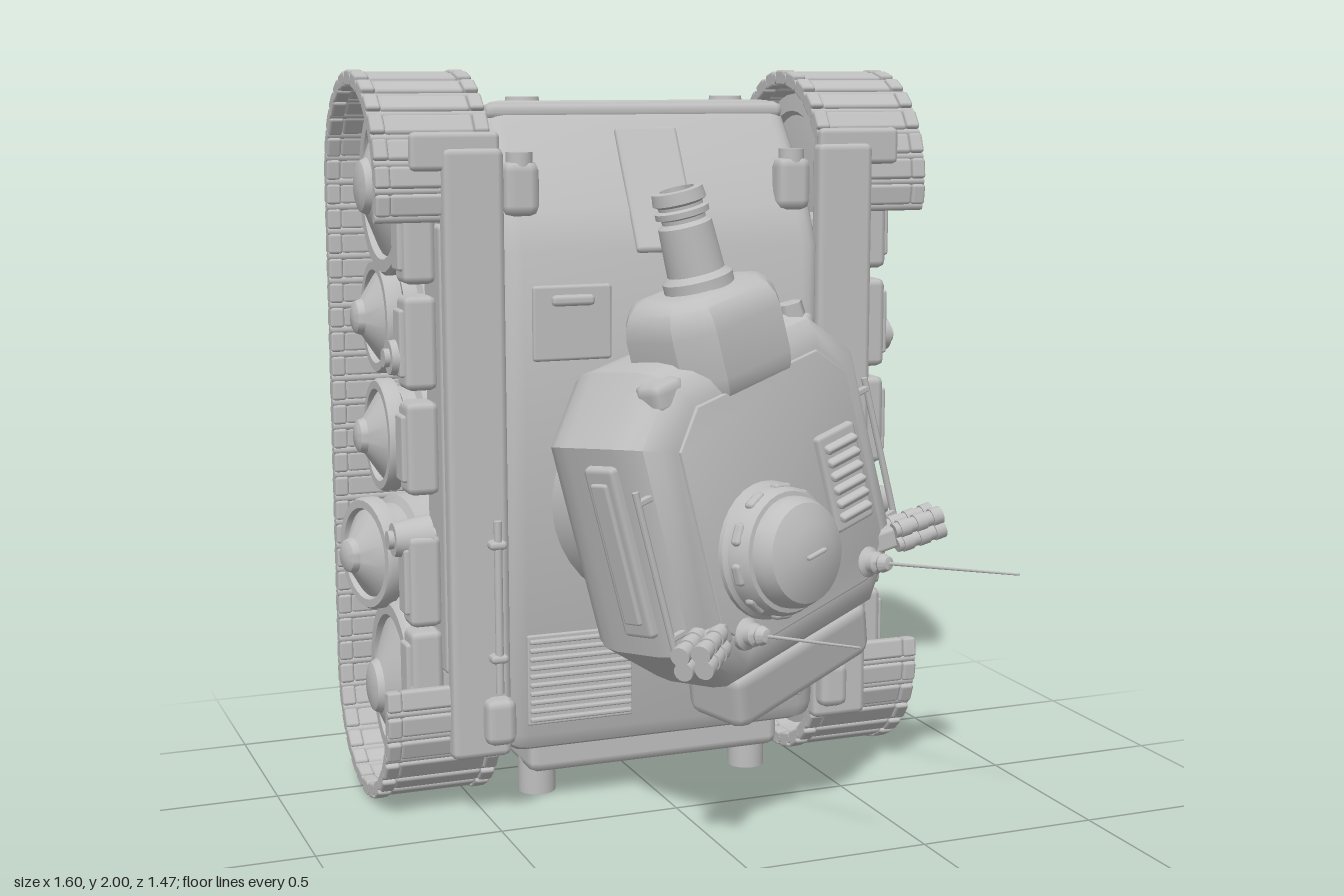
import * as THREE from 'three';
import { toCreasedNormals } from 'three/addons/utils/BufferGeometryUtils.js';
import { RoundedBoxGeometry } from 'three/addons/geometries/RoundedBoxGeometry.js';

const metal = new THREE.MeshStandardMaterial({ color: 0xbfbfbf });
metal.name = 'grey metal';

const V = (a) => a.map(([x, y]) => new THREE.Vector2(x, y));
const box = (w, h, d, r = 0.012) => new RoundedBoxGeometry(w, h, d, 1, Math.min(r, w / 2.1, h / 2.1, d / 2.1));
const cyl = (r1, r2, h, n = 24) => new THREE.CylinderGeometry(r1, r2, h, n);
const lathe = (pts, n = 32) => toCreasedNormals(new THREE.LatheGeometry(V(pts), n).toNonIndexed(), 0.6);

function part(parent, name, geo, x = 0, y = 0, z = 0, rx = 0, ry = 0, rz = 0) {
  const m = new THREE.Mesh(geo, metal);
  m.name = name;
  m.position.set(x, y, z);
  m.rotation.set(rx, ry, rz);
  parent.add(m);
  return m;
}

// extruded outline with rounded edges, total thickness d, starting at z = 0
function slab(pts, d, size, thick = size) {
  const g = new THREE.ExtrudeGeometry(new THREE.Shape(V(pts)), {
    depth: d - 2 * thick, bevelEnabled: true, bevelSize: size, bevelOffset: -size, bevelThickness: thick, bevelSegments: 4,
  });
  g.translate(0, 0, thick);
  return toCreasedNormals(g, 0.6);
}
const octagon = (a, b, c) => [[a, c - b], [a, b - c], [a - c, b], [c - a, b], [-a, b - c], [-a, c - b], [c - a, -b], [a - c, -b]];

function hull(root) {
  const g = new THREE.Group();
  g.name = 'hull';
  root.add(g);
  // side profile as (z, y), extruded across the width
  const body = slab([[-0.6, 0.3], [-0.575, 0.22], [-0.52, 0.17], [-0.16, 0.165], [-0.125, 0.18], [-0.105, 0.22],
    [-0.105, 1.53], [-0.15, 1.63], [-0.22, 1.75], [-0.3, 1.86], [-0.33, 1.9], [-0.37, 1.915], [-0.42, 1.9],
    [-0.55, 1.82], [-0.59, 1.77], [-0.6, 1.7]].reverse(), 0.92, 0.045, 0.06);
  body.rotateY(-Math.PI / 2).translate(0.46, 0, 0);
  // the sides draw in towards the belly
  const p = body.attributes.position;
  for (let i = 0; i < p.count; i++) p.setX(i, p.getX(i) * (1 + 0.16 * (p.getZ(i) + 0.105)));
  part(g, 'hull body', toCreasedNormals(body, 0.6));
  part(g, 'nose ridge', box(0.87, 0.05, 0.07, 0.024), 0, 1.885, -0.345);
  part(g, 'glacis plate', box(0.18, 0.37, 0.025), 0, 1.68, -0.18, -0.51);
  part(g, 'rear bar', box(0.75, 0.11, 0.24, 0.03), 0, 0.135, -0.3);
  part(g, 'driver hatch', box(0.22, 0.2, 0.02, 0.009), -0.27, 1.34, -0.1);
  part(g, 'driver hatch handle', box(0.12, 0.03, 0.03), -0.27, 1.4, -0.09);
  for (const s of [-1, 1]) {
    part(g, 'exhaust', cyl(0.052, 0.052, 0.14), s * 0.32, 0.07, -0.295);
    part(g, 'tow cap', cyl(0.045, 0.05, 0.03), s * 0.3, 1.91, -0.42);
    part(g, 'headlight bracket', box(0.1, 0.15, 0.08, 0.03), s * 0.39, 1.69, -0.165);
    part(g, 'headlight', cyl(0.035, 0.035, 0.06), s * 0.39, 1.755, -0.165);
    // engine grille
    part(g, 'grille base', box(0.3, 0.25, 0.015, 0.005), s * 0.255, 0.375, -0.103);
    for (let i = 0; i < 10; i++) part(g, 'grille slat', box(0.29, 0.012, 0.02, 0.005), s * 0.255, 0.267 + i * 0.024, -0.093);
  }
}

function sideGear(root, s) {
  const g = new THREE.Group();
  g.name = s > 0 ? 'left fender' : 'right fender';
  root.add(g);
  part(g, 'fender', box(0.165, 1.63, 0.06, 0.02), s * 0.53, 0.985, -0.13);
  part(g, 'sponson', box(0.17, 1.2, 0.16), s * 0.53, 1.0, -0.23);
  part(g, 'front mudguard', box(0.24, 0.1, 0.035, 0.015), s * 0.575, 1.79, -0.13);
  part(g, 'rear box', box(0.085, 0.13, 0.07, 0.025), s * 0.49, 0.28, -0.08);
  for (const y of [1.57, 1.29, 1.01, 0.65, 0.39]) {
    part(g, 'stowage box', box(0.09, 0.25, 0.1, 0.02), s * 0.655, y, -0.235);
    part(g, 'stowage lid', box(0.02, 0.18, 0.07, 0.008), s * 0.702, y, -0.235);
  }
  for (const y of [1.25, 0.76]) {
    part(g, 'fuel cap', cyl(0.045, 0.062, 0.1), s * 0.68, y, -0.25, 0, 0, -s * Math.PI / 2);
    part(g, 'fuel cap knob', cyl(0.025, 0.025, 0.13), s * 0.68, y, -0.25, 0, 0, Math.PI / 2);
  }
  if (s < 0) {
    part(g, 'fender rod', cyl(0.011, 0.011, 0.47, 10), -0.488, 0.59, -0.08);
    for (const y of [0.45, 0.76]) part(g, 'rod clip', box(0.05, 0.025, 0.05), -0.488, y, -0.09);
  }
}

// wheel of revolution with a conical face, hub pointing along +y
const wheelGeo = (r) => lathe([[0, -0.12], [r * 0.75, -0.1], [r * 0.8, -0.115], [r, -0.11], [r, -0.03], [r * 0.85, -0.02],
  [r * 0.85, 0.02], [r, 0.03], [r, 0.065], [r * 0.96, 0.075], [r * 0.82, 0.075], [r * 0.78, 0.06], [r * 0.74, 0.065],
  [r * 0.32, 0.11], [r * 0.28, 0.128], [r * 0.2, 0.135], [0, 0.138]]);

function track(root, s) {
  const g = new THREE.Group();
  g.name = s > 0 ? 'left track' : 'right track';
  root.add(g);
  const X = s * 0.626, Z = -0.425, TOP = 1.69, LOW = 0.31, R = 0.285;
  const big = wheelGeo(0.24), small = wheelGeo(0.157);
  for (const y of [TOP, LOW]) part(g, 'end wheel', big, X, y, Z, 0, 0, -s * Math.PI / 2);
  [1.33, 1.0, 0.67].forEach((y, i) => {
    // one wheel sits loose and tilted
    const loose = s < 0 && i === 2 ? 1 : 0;
    part(g, 'road wheel', small, X - 0.05 * loose, y, -0.52, 0, 0.22 * loose, -s * Math.PI / 2);
  });
  const plate = box(0.24, 0.058, 0.034, 0.01), end = box(0.04, 0.056, 0.044, 0.008);
  const pin = cyl(0.014, 0.014, 0.316, 8).rotateZ(Math.PI / 2), guide = new THREE.BoxGeometry(0.05, 0.03, 0.05);
  // t turns the link about x, so that its local -z points away from the loop
  function link(y, z, t) {
    const l = new THREE.Group();
    l.name = 'track link';
    l.position.set(X, y, z);
    l.rotation.x = t;
    part(l, 'link plate', plate);
    part(l, 'link pin', pin, 0, 0.034, 0.004);
    part(l, 'guide tooth', guide, 0, 0, 0.03);
    for (const e of [-1, 1]) part(l, 'end connector', end, e * 0.138);
    g.add(l);
  }
  for (let i = 0; i < 20; i++) link(LOW + (i + 0.5) * (TOP - LOW) / 20, Z - R, 0);
  for (let i = 0; i < 14; i++) {
    const t = (i + 0.5) * Math.PI / 13;
    link(TOP + R * Math.sin(t), Z - R * Math.cos(t), t);
    link(LOW - R * Math.sin(t), Z - R * Math.cos(t), -t);
  }
}

// local axes: x across, y along the gun, z out of the roof
function turret(root) {
  const g = new THREE.Group();
  g.name = 'turret';
  const w = new THREE.Vector3(0.38, 0.1, 0.92).normalize();
  const u = new THREE.Vector3(-0.24, 0.97, 0).cross(w).normalize();
  const v = w.clone().cross(u);
  g.quaternion.setFromRotationMatrix(new THREE.Matrix4().makeBasis(u, v, w));
  g.position.x = -0.0135;
  root.add(g);
  const C = 0.26, B = 0.835;
  part(g, 'turret body', slab(octagon(0.43, 0.43, 0.15), 0.42, 0.1, 0.13), C, B, 0);
  part(g, 'roof plate', slab(octagon(0.32, 0.325, 0.09), 0.016, 0.005), C, B, 0.412);
  part(g, 'turret ring', cyl(0.32, 0.32, 0.2, 40), C, B, -0.06, Math.PI / 2);
  part(g, 'rear bustle', box(0.54, 0.16, 0.2, 0.035), C, 0.37, 0.265, 0.2);

  // gun and mantlet
  part(g, 'mantlet', slab(octagon(0.2, 0.165, 0.08), 0.3, 0.07, 0.09), C, 1.405, 0.275, Math.PI / 2);
  part(g, 'gun barrel', lathe([[0, 0], [0.11, 0], [0.1, 0.14], [0.092, 0.2], [0.092, 0.245], [0.075, 0.26], [0.07, 0.385],
    [0.057, 0.395], [0.057, 0.405], [0.07, 0.41], [0.07, 0.425], [0.058, 0.43], [0.058, 0.438], [0.07, 0.445],
    [0.066, 0.475], [0.045, 0.477], [0.043, 0.4], [0, 0.4]]), C, 1.185, 0.289);

  // commander's cupola
  const cup = new THREE.Group();
  cup.name = 'cupola';
  cup.position.set(0.152, 0.73, 0.42);
  cup.rotation.x = Math.PI / 2;
  g.add(cup);
  part(cup, 'cupola dome', lathe([[0.18, -0.01], [0.178, 0.02], [0.168, 0.03], [0.165, 0.075], [0.155, 0.09], [0.143, 0.092],
    [0.142, 0.12], [0.128, 0.146], [0.075, 0.168], [0, 0.176]]));
  part(cup, 'hatch handle', box(0.07, 0.016, 0.012), 0, 0.178, 0);
  for (let i = 0; i < 10; i++) {
    const t = i * Math.PI / 5;
    part(cup, 'vision block', box(0.022, 0.03, 0.06), 0.163 * Math.cos(t), 0.055, 0.163 * Math.sin(t), 0, -t, 0);
  }

  // roof vent
  part(g, 'vent base', box(0.15, 0.27, 0.035), 0.475, 0.81, 0.43);
  for (let i = 0; i < 6; i++) part(g, 'vent slat', box(0.12, 0.02, 0.03, 0.008), 0.475, 0.715 + i * 0.038, 0.45, 0.5);

  // gear on the front corners
  part(g, 'periscope', box(0.11, 0.09, 0.1, 0.03), -0.01, 1.2, 0.35);
  part(g, 'sight housing', box(0.11, 0.1, 0.09, 0.03), 0.52, 1.2, 0.33);
  part(g, 'sight cap', cyl(0.035, 0.04, 0.06, 6), 0.52, 1.25, 0.335);

  for (const s of [-1, 1]) {
    part(g, 'side panel', box(0.05, 0.46, 0.11, 0.015), C + s * 0.425, 0.84, 0.25);
    part(g, 'side panel face', box(0.02, 0.38, 0.06, 0.008), C + s * 0.45, 0.84, 0.25);
    part(g, 'hand rail', cyl(0.009, 0.009, 0.42, 8), C + s * 0.445, 0.8, 0.37);
    for (const y of [0.62, 0.98]) part(g, 'rail post', box(0.07, 0.018, 0.018, 0.005), C + s * 0.415, y, 0.37);
    // angled tube cluster
    const tubes = new THREE.Group();
    tubes.name = 'launcher';
    tubes.position.set(C + s * 0.36, 0.585, 0.42);
    tubes.rotation.y = -s * 0.41;
    g.add(tubes);
    part(tubes, 'launcher bracket', box(0.1, 0.06, 0.06), -s * 0.02);
    for (const y of [-0.02, 0.02]) for (const z of [-0.028, 0.028]) {
      part(tubes, 'launcher tube', cyl(0.021, 0.021, 0.14, 14), s * 0.07, y, z, 0, 0, Math.PI / 2);
      for (const x of [0.03, 0.08, 0.13]) part(tubes, 'tube band', cyl(0.025, 0.025, 0.03, 14), s * x, y, z, 0, 0, Math.PI / 2);
    }
    // whip antenna
    const ax = C + s * 0.246, tip = s > 0 ? 0.93 : 0.81;
    part(g, 'antenna base', lathe([[0, 0], [0.045, 0], [0.042, 0.03], [0.03, 0.04], [0.03, 0.06], [0.02, 0.07],
      [0.026, 0.08], [0.018, 0.1], [0, 0.105]], 16), ax, 0.555, 0.4, Math.PI / 2);
    part(g, 'antenna', cyl(0.003, 0.005, tip - 0.47, 8), ax, 0.555, (tip + 0.47) / 2, Math.PI / 2);
  }
}

export function createModel() {
  const model = new THREE.Group();
  model.name = 'tank standing on its rear';
  const root = new THREE.Group();
  root.name = 'tank';
  root.position.x = 0.0135;
  model.add(root);
  hull(root);
  turret(root);
  for (const s of [-1, 1]) {
    sideGear(root, s);
    track(root, s);
  }
  return model;
}
